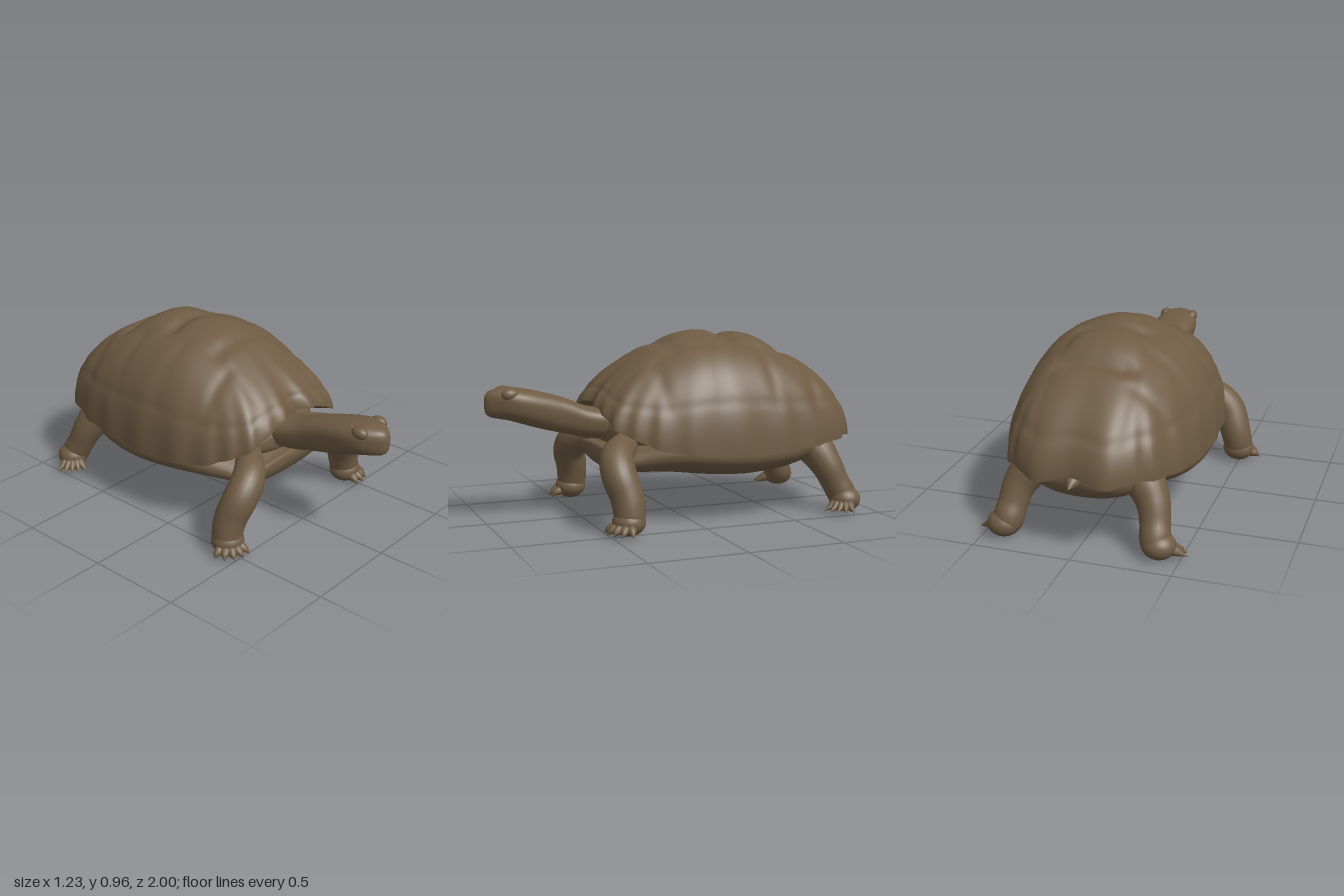
import * as THREE from 'three';
import { mergeVertices } from 'three/addons/utils/BufferGeometryUtils.js';

const brown = new THREE.MeshStandardMaterial({ color: 0x6e5b43, side: THREE.DoubleSide });
brown.name = 'tortoise brown';

const V = (x, y, z) => new THREE.Vector3(x, y, z);
const bell = (d, w) => Math.exp(-((d / w) ** 2));
const { smoothstep, lerp, clamp } = THREE.MathUtils;

function add(parent, name, geometry) {
  const mesh = new THREE.Mesh(geometry, brown);
  mesh.name = name;
  parent.add(mesh);
  return mesh;
}

// Weld seams so that the normals run smoothly all round
function weld(geometry) {
  geometry.deleteAttribute('uv');
  geometry.deleteAttribute('normal');
  const g = mergeVertices(geometry, 1e-5);
  g.computeVertexNormals();
  return g;
}

// Smooth surface from a rule point(u, v)
function grid(nu, nv, point) {
  const pos = [], index = [];
  for (let i = 0; i <= nu; i++) {
    for (let j = 0; j <= nv; j++) pos.push(...point(i / nu, (j % nv) / nv));
  }
  for (let i = 0; i < nu; i++) {
    for (let j = 0; j < nv; j++) {
      const a = i * (nv + 1) + j, b = a + nv + 1;
      index.push(a, b, a + 1, b, b + 1, a + 1);
    }
  }
  const g = new THREE.BufferGeometry();
  g.setAttribute('position', new THREE.Float32BufferAttribute(pos, 3));
  g.setIndex(index);
  return weld(g);
}

// Smooth interpolation through rows of numbers
function spline(rows, t) {
  const f = t * (rows.length - 1), i = Math.min(Math.floor(f), rows.length - 2), s = f - i;
  const row = k => rows[clamp(k, 0, rows.length - 1)];
  return rows[i].map((p1, c) => {
    const p0 = row(i - 1)[c], p2 = row(i + 1)[c], p3 = row(i + 2)[c];
    return p1 + 0.5 * s * (p2 - p0 + s * (2 * p0 - 5 * p1 + 4 * p2 - p3 + s * (3 * (p1 - p2) + p3 - p0)));
  });
}

// Loft of rounded sections, back to front: [z, bottom, top, half width]
function loft(rows, power = 0.9, taper = 0) {
  return grid(48, 48, (u, v) => {
    const [z, bottom, top, w] = spline(rows, u);
    const c = Math.cos(-2 * Math.PI * v), s = Math.sin(-2 * Math.PI * v);
    const sy = Math.sign(s) * Math.abs(s) ** power;
    const x = Math.max(w, 0) * Math.sign(c) * Math.abs(c) ** power * (1 + taper * sy);
    return [x, (top + bottom) / 2 + sy * (top - bottom) / 2, z];
  });
}

// Tube with a changing radius: [x, y, z, radius]
function limb(rows, side, n = 32, m = 24) {
  const path = new THREE.CatmullRomCurve3(rows.map(r => V(r[0] * side, r[1], r[2])));
  const g = new THREE.TubeGeometry(path, n, 1, m);
  const p = g.attributes.position, q = V(0, 0, 0);
  for (let i = 0; i <= n; i++) {
    const centre = path.getPointAt(i / n);
    const r = Math.max(spline(rows, path.getUtoTmapping(i / n))[3], 0);
    for (let j = 0; j <= m; j++) {
      const k = i * (m + 1) + j;
      q.fromBufferAttribute(p, k).sub(centre).multiplyScalar(r).add(centre);
      p.setXYZ(k, q.x, q.y, q.z);
    }
  }
  return weld(g);
}

// Shell edge on the left half, front to back
const halfRim = [
  [0, 0.6, 0.455], [0.1, 0.597, 0.455], [0.22, 0.56, 0.445], [0.33, 0.5, 0.42], [0.39, 0.45, 0.33],
  [0.44, 0.4, 0.22], [0.485, 0.37, 0.05], [0.5, 0.355, -0.2], [0.48, 0.36, -0.45],
  [0.44, 0.37, -0.65], [0.365, 0.39, -0.83], [0.28, 0.4, -0.92], [0.17, 0.375, -0.985], [0, 0.41, -0.965],
];
const rimCurve = new THREE.CatmullRomCurve3(
  [...halfRim, ...halfRim.slice(1, -1).reverse().map(([x, y, z]) => [-x, y, z])].map(p => V(...p)), true);
const apexZ = -0.15, apexY = 0.94;

// Scalloped edge with a notch over the neck
function rimPoint(v) {
  const p = rimCurve.getPoint(v);
  const wave = 1 + 0.012 * Math.cos(v * 26 * 2 * Math.PI);
  const notch = p.z > 0 ? 0.05 * bell(p.x, 0.06) : 0;
  return V(p.x * wave, p.y, apexZ + (p.z - apexZ) * (p.z < -0.9 ? 1 : wave) - notch);
}

// Domed shell with seams between the plates
function shellPoint(s, v) {
  const rim = rimPoint(v), smooth = rimCurve.getPoint(v);
  const u = Math.sin(s * Math.PI / 2);
  const dir = (smooth.z - apexZ) / Math.hypot(smooth.x, smooth.z - apexZ);
  const n = 2.35 - (dir > 0 ? 0.9 : 0.45) * dir * dir;
  const k = u ** 8;
  let x = u * lerp(smooth.x, rim.x, k);
  let z = apexZ + u * (lerp(smooth.z, rim.z, k) - apexZ);
  let y = rim.y + (apexY - rim.y) * Math.max(0, 1 - u ** n) ** (1 / n);
  const ax = Math.abs(x), middle = 1 - smoothstep(ax, 0.13, 0.25), edge = 1 - smoothstep(u, 0.9, 1);
  // Ridge and seams of the middle plates
  y += 0.022 * bell(ax, 0.13) * (1 - smoothstep(u, 0.3, 0.9));
  for (const [at, depth] of [[0.06, 0.014], [-0.27, 0.026], [-0.59, 0.03]]) y -= depth * middle * bell(z - at, 0.045);
  y += 0.014 * middle * bell(z + 0.43, 0.09);
  // Seams between and beside the side plates
  let cut = 0.004 * bell(ax - 0.21, 0.03);
  for (const at of [0.17, -0.12, -0.42, -0.68]) cut += 0.009 * (1 - middle) * bell(z - at, 0.035);
  cut += 0.005 * bell(u - 0.93, 0.02);
  cut *= edge;
  x *= 1 - cut;
  z = apexZ + (z - apexZ) * (1 - cut);
  y -= cut * 0.7;
  return [x, y, z];
}

function shellLip(u, v) {
  const p = rimPoint(v), k = 1 - 0.22 * u;
  return [p.x * k, p.y + 0.012 * u, apexZ + (p.z - apexZ) * k];
}

// Leg, foot and fanned toes that taper to claws
function leg(parent, name, side, rows, foot, angles, reach) {
  const group = new THREE.Group();
  group.name = name;
  parent.add(group);
  add(group, 'leg', limb(rows, side));
  const pad = add(group, 'foot', new THREE.SphereGeometry(1, 28, 20));
  pad.scale.set(0.085, 0.068, 0.083);
  pad.position.set(foot[0] * side, foot[1], foot[2]);
  for (let i = 0; i < 5; i++) {
    const a = lerp(angles[0], angles[1], i / 4);
    const toe = [[0.03, 0.055, 0.03], [0.07, 0.046, 0.027], [0.1, 0.034, 0.017], [reach, 0.016, 0]];
    add(group, 'toe', limb(toe.map(([d, y, r]) => [foot[0] + d * Math.cos(a), y, foot[2] + d * Math.sin(a), r]), side, 12, 12));
  }
}

export function createModel() {
  const model = new THREE.Group();
  model.name = 'tortoise';

  add(model, 'shell', grid(72, 208, shellPoint));
  add(model, 'shellLip', grid(4, 208, shellLip));

  // Belly plate, joining the shell edge at the sides
  add(model, 'belly', loft([
    [-0.92, 0.37, 0.38, 0], [-0.89, 0.3, 0.42, 0.16], [-0.8, 0.24, 0.46, 0.27], [-0.65, 0.236, 0.5, 0.385],
    [-0.5, 0.215, 0.5, 0.462], [-0.3, 0.2, 0.5, 0.49], [-0.1, 0.213, 0.5, 0.488], [0.1, 0.238, 0.5, 0.462],
    [0.27, 0.245, 0.44, 0.38], [0.38, 0.258, 0.39, 0.32], [0.42, 0.31, 0.385, 0.24], [0.43, 0.35, 0.36, 0],
  ]));
  // Skin between the neck and shoulders
  add(model, 'chestSkin', loft([
    [-0.2, 0.42, 0.46, 0], [-0.1, 0.36, 0.54, 0.34], [0.15, 0.35, 0.55, 0.37], [0.27, 0.36, 0.54, 0.33],
    [0.34, 0.38, 0.53, 0.24], [0.38, 0.4, 0.51, 0.14], [0.4, 0.44, 0.48, 0],
  ]));
  // Neck and head in one run
  add(model, 'neckAndHead', loft([
    [0.25, 0.4, 0.56, 0.13], [0.45, 0.415, 0.58, 0.105], [0.58, 0.445, 0.63, 0.098], [0.7, 0.475, 0.665, 0.108],
    [0.8, 0.505, 0.688, 0.115], [0.88, 0.53, 0.698, 0.106], [0.93, 0.54, 0.693, 0.08],
    [0.97, 0.55, 0.682, 0.05], [0.993, 0.57, 0.66, 0.024], [1, 0.61, 0.62, 0],
  ], 0.78, 0.12));
  add(model, 'tail', limb([[0, 0.4, -0.8, 0.06], [0, 0.39, -0.88, 0.05], [0, 0.375, -0.95, 0.03], [0, 0.36, -1, 0]], 1));

  for (const side of [1, -1]) {
    const label = side > 0 ? 'left' : 'right';
    const brow = add(model, label + 'Eye', new THREE.SphereGeometry(1, 20, 14));
    brow.scale.set(0.032, 0.032, 0.045);
    brow.position.set(side * 0.078, 0.667, 0.885);

    leg(model, label + 'FrontLeg', side, [
      [0.17, 0.425, 0.26, 0.06], [0.26, 0.4, 0.35, 0.072], [0.35, 0.36, 0.42, 0.085], [0.425, 0.285, 0.432, 0.088],
      [0.465, 0.19, 0.408, 0.084], [0.485, 0.12, 0.402, 0.08], [0.495, 0.06, 0.407, 0.068], [0.495, 0.03, 0.41, 0],
    ], [0.492, 0.068, 0.408], [0.15, 1.85], 0.122);
    leg(model, label + 'HindLeg', side, [
      [0.18, 0.4, -0.62, 0.08], [0.27, 0.35, -0.71, 0.1], [0.34, 0.25, -0.765, 0.084], [0.363, 0.16, -0.806, 0.075],
      [0.375, 0.09, -0.842, 0.076], [0.38, 0.04, -0.85, 0.06], [0.38, 0.02, -0.85, 0],
    ], [0.395, 0.068, -0.85], [0.15, 1.35], 0.145);
  }
  return model;
}
